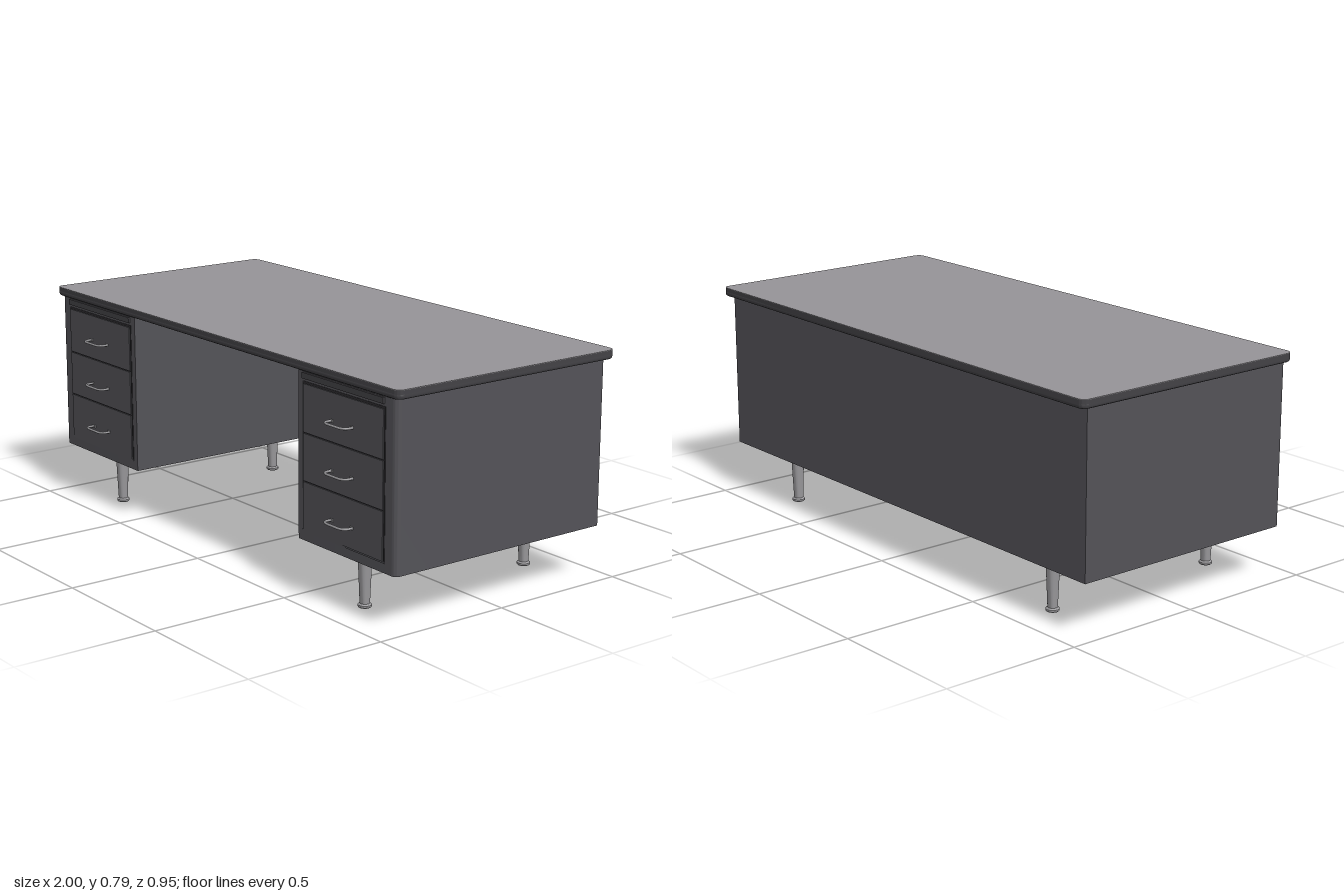
import * as THREE from 'three';
import { toCreasedNormals } from 'three/addons/utils/BufferGeometryUtils.js';

const mat = (name, color) => {
  const m = new THREE.MeshStandardMaterial({ color });
  m.name = name;
  return m;
};

// Plan outline; radii are for back-left, back-right, front-right, front-left of the sheet
function plan(x0, x1, z0, z1, [a, b, c, d]) {
  const s = new THREE.Shape();
  const corner = (x, y, r, start) => r
    ? s.absarc(x, y, r, start, start + Math.PI / 2, false)
    : s.lineTo(x, y);
  s.moveTo(x0 + d, -z1);
  corner(x1 - c, -z1 + c, c, -Math.PI / 2);
  corner(x1 - b, -z0 - b, b, 0);
  corner(x0 + a, -z0 - a, a, Math.PI / 2);
  corner(x0 + d, -z1 + d, d, Math.PI);
  return s;
}

// Extrudes a plan outline upward from y0 to y1, optionally with rounded rims
function slab(shape, y0, y1, bevel = 0) {
  const g = new THREE.ExtrudeGeometry(shape, {
    depth: y1 - y0 - 2 * bevel, curveSegments: 6, bevelEnabled: bevel > 0,
    bevelSize: bevel, bevelThickness: bevel, bevelOffset: -bevel, bevelSegments: 4,
  });
  g.rotateX(-Math.PI / 2).translate(0, y0 + bevel, 0);
  return toCreasedNormals(g, 0.6);
}

export function createModel() {
  const desk = new THREE.Group();
  desk.name = 'desk';
  const body = mat('bodyGrey', 0x545358);
  const top = mat('laminateGrey', 0x969498);
  const edge = mat('edgeDark', 0x434246);
  const gap = mat('gapDark', 0x2c2b2e);
  const metal = mat('brushedMetal', 0x98979a);

  const add = (parent, name, geometry, material, x = 0, y = 0, z = 0) => {
    const m = new THREE.Mesh(geometry, material);
    m.name = name;
    m.position.set(x, y, z);
    parent.add(m);
    return m;
  };
  const box = (w, h, d) => new THREE.BoxGeometry(w, h, d);

  // Desktop: rounded lower rim, square upper rim, laminate sheet
  const r = 0.025;
  const outline = plan(-1, 1, -0.475, 0.44, [r, r, r, r]);
  add(desk, 'desktopLowerRim', slab(outline, 0.755, 0.781, 0.009), edge);
  add(desk, 'desktopUpperRim', slab(outline, 0.768, 0.785), edge);
  add(desk, 'desktopLaminate', slab(outline, 0.785, 0.787), top);

  // Full-width back panel
  add(desk, 'backPanel', box(1.96, 0.568, 0.015), body, 0, 0.471, -0.4325);

  // Bow handle path and flat bar section
  const bow = new THREE.CatmullRomCurve3([
    [-0.054, 0, 0], [-0.054, 0, 0.022], [-0.042, 0, 0.035],
    [0, 0, 0.038], [0.042, 0, 0.035], [0.054, 0, 0.022], [0.054, 0, 0],
  ].map(p => new THREE.Vector3(...p)));
  const handleGeo = new THREE.TubeGeometry(bow, 28, 0.0045, 8);

  // Tapered leg with a foot
  const legGeo = toCreasedNormals(new THREE.LatheGeometry([
    [0, 0], [0.02, 0], [0.023, 0.003], [0.023, 0.009], [0.02, 0.012],
    [0.017, 0.014], [0.024, 0.182], [0, 0.182],
  ].map(p => new THREE.Vector2(...p)), 24), 0.6);

  for (const side of [-1, 1]) {
    const pedestal = new THREE.Group();
    pedestal.name = side > 0 ? 'leftPedestal' : 'rightPedestal';
    desk.add(pedestal);

    // Carcass with a rounded outer front corner
    const foot = side > 0
      ? plan(0.485, 0.98, -0.425, 0.428, [0, 0, 0.02, 0])
      : plan(-0.98, -0.485, -0.425, 0.428, [0, 0, 0, 0.02]);
    add(pedestal, 'carcass', slab(foot, 0.187, 0.755), body);

    // Dark reveal behind the drawer fronts
    const cx = side * 0.718;
    add(pedestal, 'drawerReveal', box(0.418, 0.5, 0.002), gap, cx, 0.471, 0.4285);

    // Drawer fronts and handles
    [[0.225, 0.387, 0.295], [0.391, 0.549, 0.458], [0.553, 0.713, 0.622]].forEach(([y0, y1, hy]) => {
      add(pedestal, 'drawerFront', box(0.406, y1 - y0, 0.006), body, cx, (y0 + y1) / 2, 0.43);
      const handle = add(pedestal, 'handle', handleGeo, metal, cx, hy, 0.432);
      for (const end of [-1, 1]) {
        add(handle, 'handleFoot', box(0.014, 0.01, 0.004), metal, end * 0.05, 0, 0.002);
      }
    });

    // Bottom lip under the drawers
    add(pedestal, 'drawerSill', box(0.42, 0.006, 0.003), body, cx, 0.222, 0.429);

    // Pull-out writing board
    add(pedestal, 'pullOutBoard', box(0.41, 0.02, 0.03), edge, cx, 0.74, 0.421);

    // Legs on square mounting plates
    for (const z of [0.343, -0.35]) {
      add(pedestal, 'leg', legGeo, metal, side * 0.725, 0, z);
      add(pedestal, 'legPlate', box(0.1, 0.006, 0.095), edge, side * 0.725, 0.184, z);
    }
  }
  return desk;
}
